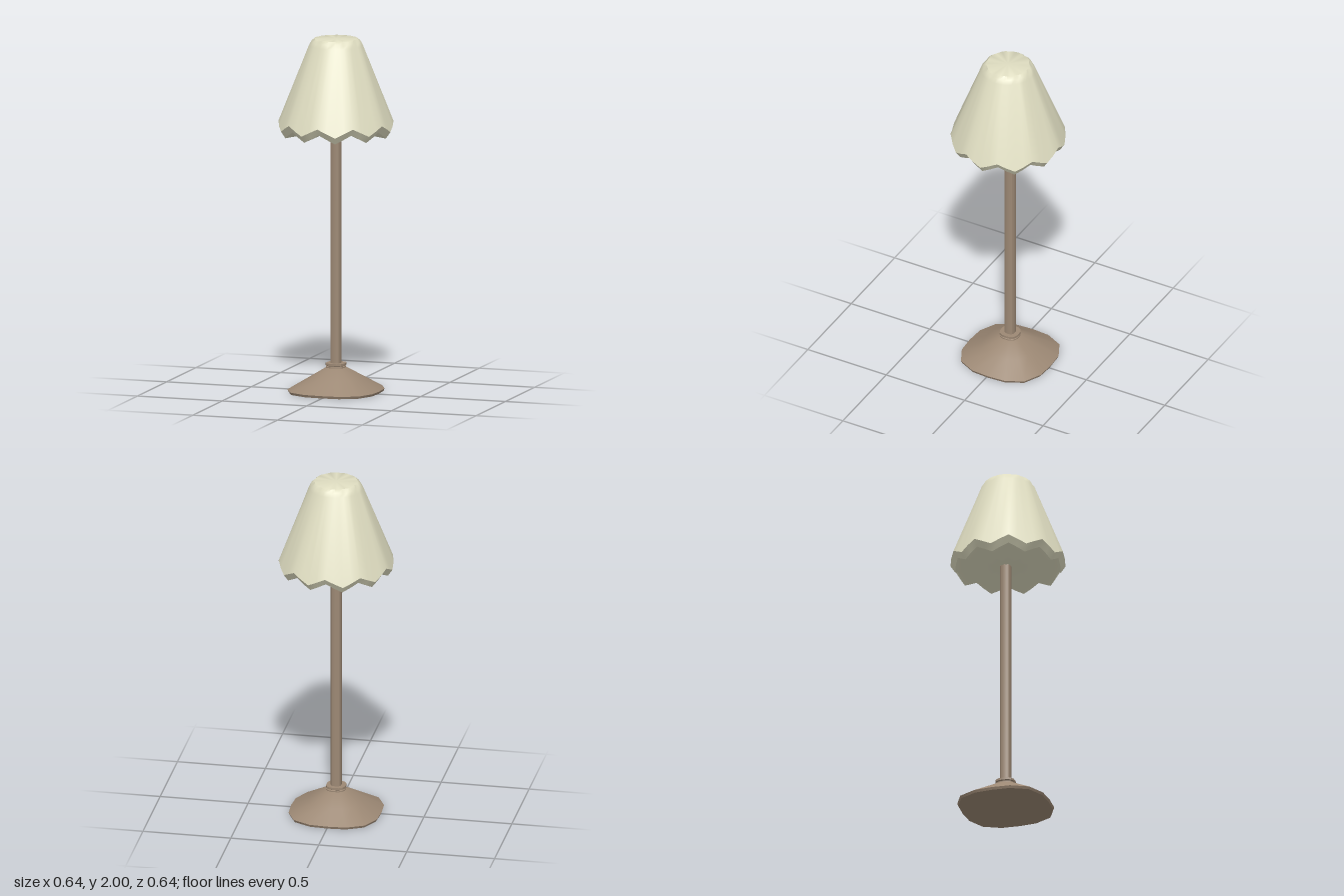
import * as THREE from 'three';
import { toCreasedNormals } from 'three/addons/utils/BufferGeometryUtils.js';

const TAU = Math.PI * 2;

// Skin a stack of closed rings, listed from bottom centre to top centre.
// Each ring is a function: angle from +z -> [radius, height].
function loft(rings, segments, offset, crease) {
  const positions = [];
  const point = (ring, i) => {
    const a = offset + ((i % segments) / segments) * TAU;
    const [r, y] = ring(a);
    return [r * Math.sin(a), y, r * Math.cos(a)];
  };
  for (let k = 0; k < rings.length - 1; k++) {
    for (let i = 0; i < segments; i++) {
      const a = point(rings[k], i), b = point(rings[k], i + 1);
      const c = point(rings[k + 1], i + 1), d = point(rings[k + 1], i);
      if (k > 0) positions.push(...a, ...b, ...c);
      if (k < rings.length - 2) positions.push(...a, ...c, ...d);
      else if (k === 0) positions.push(...a, ...b, ...c);
    }
  }
  const geometry = new THREE.BufferGeometry();
  geometry.setAttribute('position', new THREE.Float32BufferAttribute(positions, 3));
  return toCreasedNormals(geometry, crease);
}

// Rounded-square ring: r is the half width across the flats
function squircle(r, y) {
  const p = 2.85;
  return (a) => [
    r / Math.pow(Math.abs(Math.sin(a)) ** p + Math.abs(Math.cos(a)) ** p, 1 / p),
    y,
  ];
}

function addMesh(parent, name, geometry, material) {
  const mesh = new THREE.Mesh(geometry, material);
  mesh.name = name;
  parent.add(mesh);
  return mesh;
}

export function createModel() {
  const lamp = new THREE.Group();
  lamp.name = 'floorLamp';
  const brown = new THREE.MeshStandardMaterial({ color: 0x9c8874 });
  const cream = new THREE.MeshStandardMaterial({ color: 0xdedcc0 });

  // Stand: flared foot, stepped collar and pole, slightly off the shade's axis
  const stand = new THREE.Group();
  stand.name = 'stand';
  stand.position.set(-0.004, 0, -0.012);
  lamp.add(stand);

  const turned = (profile) =>
    loft(profile.map(([r, y]) => squircle(r, y)), 16, 0, 0.6);

  addMesh(stand, 'foot', turned([
    [0, 0], [0.252, 0], [0.258, 0.014], [0.15, 0.079], [0.05, 0.14], [0, 0.14],
  ]), brown);
  addMesh(stand, 'collar', turned([
    [0, 0.13], [0.054, 0.134], [0.054, 0.144], [0.048, 0.147],
    [0.055, 0.151], [0.055, 0.163], [0, 0.163],
  ]), brown);
  addMesh(stand, 'pole', turned([
    [0, 0.12], [0.03, 0.12], [0.03, 1.5], [0, 1.5],
  ]), brown);

  // Shade: ten scallops round the rim, with a matching notch at the top of each
  const scallop = (a) => Math.cos(10 * a) * 0.024;
  const notch = (a) => (Math.cos(10 * a) > 0 ? 1 : 0);
  addMesh(lamp, 'shade', loft([
    () => [0, 1.488],
    (a) => [0.295, 1.473 + scallop(a)],
    (a) => [0.321, 1.511 + scallop(a)],
    () => [0.151, 1.962],
    (a) => [0.138, 1.986 - 0.009 * notch(a)],
    (a) => [0.122 - 0.003 * notch(a), 2],
    () => [0, 2],
  ], 40, TAU / 40, 0.75), cream);

  return lamp;
}
